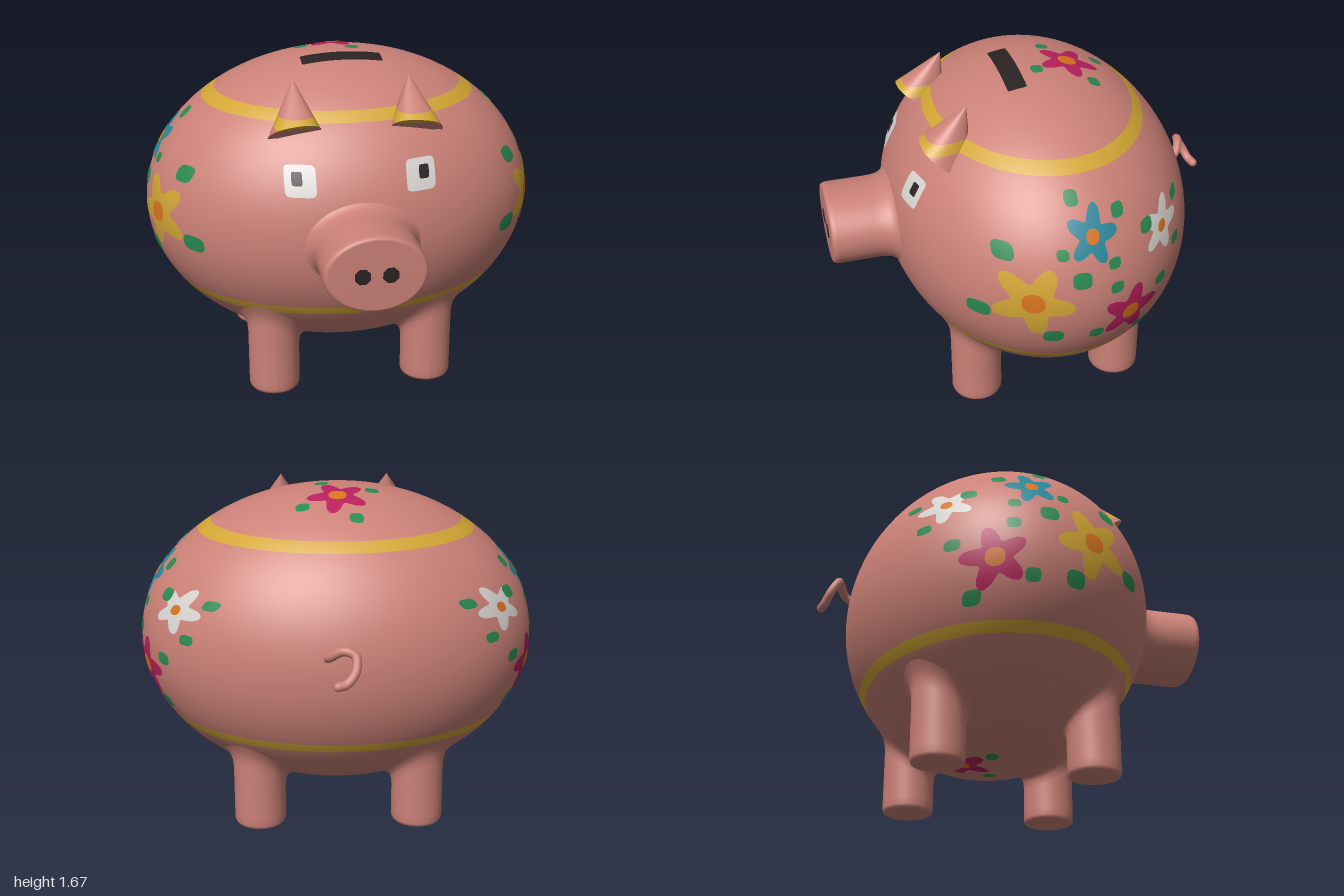
import * as THREE from 'three';

const mat = (name, color, side = THREE.FrontSide) => {
  const m = new THREE.MeshStandardMaterial({ color, side });
  m.name = name;
  return m;
};

// Body ellipsoid: centre and radii
const C = new THREE.Vector3(0, 0.91, -0.07);
const R = new THREE.Vector3(0.996, 0.76, 0.77);

// Slide a point along one axis onto the body surface
function onBody(p, axis, sign) {
  let k = 1;
  for (const a of ['x', 'y', 'z']) if (a !== axis) k -= ((p[a] - C[a]) / R[a]) ** 2;
  p[axis] = C[axis] + sign * R[axis] * Math.sqrt(Math.max(k, 0));
  return p;
}
const bodyNormal = (p) => p.clone().sub(C).divide(R).divide(R).normalize();

// Flat outlines, as functions of an angle
const flowerShape = (size, phase) => (t) => {
  const r = size * (0.75 + 0.25 * Math.cos(5 * (t - phase * Math.PI / 180)));
  return [r * Math.cos(t), r * Math.sin(t)];
};
const blobShape = (a, b, n) => (t) => {
  const c = Math.cos(t), s = Math.sin(t);
  const r = (Math.abs(c) ** n + Math.abs(s) ** n) ** (-1 / n);
  return [a * r * c, b * r * s];
};

// Faces of the body that can be painted: map (u, v) to a surface point
const sides = {
  left: { at: (u, v) => onBody(new THREE.Vector3(0, v, -u), 'x', 1) },
  right: { at: (u, v) => onBody(new THREE.Vector3(0, v, -u), 'x', -1), flip: true },
  top: { at: (u, v) => onBody(new THREE.Vector3(u, 0, -v), 'y', 1) },
  bottom: { at: (u, v) => onBody(new THREE.Vector3(u, 0, v), 'y', -1) },
  front: { at: (u, v) => onBody(new THREE.Vector3(u, v, 0), 'z', 1) },
};

// Painted patch that follows the body: nested rings of an outline
function patchGeometry(side, cu, cv, shape, lift) {
  const rings = 7, n = 48, pos = [], nor = [], idx = [];
  for (let j = 0; j <= rings; j++) for (let i = 0; i <= n; i++) {
    const [u, v] = shape((i / n) * Math.PI * 2);
    const p = side.at(cu + u * j / rings, cv + v * j / rings);
    const nn = bodyNormal(p);
    p.addScaledVector(nn, lift);
    pos.push(p.x, p.y, p.z);
    nor.push(nn.x, nn.y, nn.z);
    if (j < rings && i < n) {
      const a = j * (n + 1) + i, b = a + n + 1;
      if (side.flip) idx.push(a, b + 1, b, a, a + 1, b + 1);
      else idx.push(a, b, b + 1, a, b + 1, a + 1);
    }
  }
  const g = new THREE.BufferGeometry();
  g.setAttribute('position', new THREE.Float32BufferAttribute(pos, 3));
  g.setAttribute('normal', new THREE.Float32BufferAttribute(nor, 3));
  g.setIndex(idx);
  return g;
}

// Part of a cone between two heights, from a base ring to a tip
function coneBand(ring, tip, y0, y1) {
  const n = 48, pos = [], idx = [];
  for (let i = 0; i <= n; i++) {
    const b = ring((i / n) * Math.PI * 2);
    for (const y of [y0, y1]) {
      const t = THREE.MathUtils.clamp((y - b.y) / (tip.y - b.y || 1e-6), 0, 1);
      pos.push(...b.clone().lerp(tip, t).toArray());
    }
    const a = i * 2;
    if (i < n) idx.push(a, a + 2, a + 3, a, a + 3, a + 1);
  }
  const g = new THREE.BufferGeometry();
  g.setAttribute('position', new THREE.Float32BufferAttribute(pos, 3));
  g.setIndex(idx);
  g.computeVertexNormals();
  return g;
}

const profile = (pts) => pts.map(([x, y]) => new THREE.Vector2(x, y));

export function createModel() {
  const model = new THREE.Group();
  model.name = 'piggyBank';
  const pink = mat('pink', 0xcb8177), yellow = mat('yellow', 0xd2a534);
  const earPink = pink, white = mat('white', 0xd8d5d1), dark = mat('dark', 0x2b2222);
  const green = mat('green', 0x2a8a52), magenta = mat('magenta', 0xb8205c);
  const blue = mat('blue', 0x2a879a), orange = mat('orange', 0xd8741f);
  pink.side = yellow.side = THREE.DoubleSide;

  const add = (name, geometry, material) => {
    const m = new THREE.Mesh(geometry, material);
    m.name = name;
    model.add(m);
    return m;
  };
  const paint = (name, side, u, v, shape, material, lift = 0.004) =>
    add(name, patchGeometry(sides[side], u, v, shape, lift), material);

  // Body in horizontal zones, with two yellow bands
  const cuts = [1.67, 1.5, 1.455, 0.552, 0.503, 0.15];
  const theta = cuts.map((y) => Math.acos(THREE.MathUtils.clamp((y - C.y) / R.y, -1, 1)));
  ['bodyTop', 'upperBand', 'body', 'lowerBand', 'belly'].forEach((name, i) => {
    const g = new THREE.SphereGeometry(1, 96, Math.max(2, Math.ceil((theta[i + 1] - theta[i]) * 24)),
      0, Math.PI * 2, theta[i], theta[i + 1] - theta[i]);
    g.scale(R.x, R.y, R.z).translate(C.x, C.y, C.z);
    add(name, g, i % 2 ? yellow : pink);
  });

  // Oval snout with a rounded rim and a soft base
  const snout = new THREE.LatheGeometry(profile([[1.3, 0.64], [1.12, 0.672], [1.04, 0.7], [1.005, 0.74],
    [1, 0.78], [1, 0.965], [0.985, 0.983], [0.95, 0.994], [0.9, 0.997], [0.001, 0.997]]), 64);
  snout.rotateX(Math.PI / 2).scale(0.245, 0.19, 1).translate(0, 0.91, 0);
  add('snout', snout, pink);

  // Legs that flare into the belly; profile heights near 1 are measured from the body
  for (const [x, z, name] of [[0.4, 0.33, 'front'], [-0.4, 0.33, 'front'], [0.4, -0.43, 'back'], [-0.4, -0.43, 'back']]) {
    const g = new THREE.LatheGeometry(profile([[0.001, 0], [0.11, 0], [0.124, 0.005], [0.13, 0.02], [0.13, 0.06],
      [0.13, 0.92], [0.134, 0.96], [0.145, 0.985], [0.165, 0.998], [0.19, 1.01]]), 40);
    g.translate(x, 0, z);
    const p = g.attributes.position;
    for (let i = 0; i < p.count; i++) if (p.getY(i) > 0.5) {
      const s = onBody(new THREE.Vector3().fromBufferAttribute(p, i), 'y', -1);
      p.setY(i, s.y + p.getY(i) - 1);
    }
    g.computeVertexNormals();
    add(name + 'Leg', g, pink);
  }

  for (const s of [1, -1]) {
    // Ear: leaning cone with the upper band running across it
    const tip = new THREE.Vector3(s * 0.28, 1.64, 0.32);
    const base = new THREE.Vector3(s * 0.293, 1.385, 0.43);
    const outline = blobShape(0.13, 0.15, 2.6);
    const ring = (t) => {
      const [u, v] = outline(-s * t);
      return new THREE.Vector3(base.x + s * u, base.y + v * 0.62 - u * 0.1, base.z - -v * 0.79);
    };
    add('earTip', coneBand(ring, tip, 1.5, 1.64), earPink);
    add('earBand', coneBand(ring, tip, 1.455, 1.5), yellow);
    add('earRoot', coneBand(ring, tip, 1.2, 1.455), earPink);
    add('earUndersideBand', coneBand(ring, base, 1.6, 1.455), yellow);
    add('earUnderside', coneBand(ring, base, 1.455, 1.385), earPink);

    // Eye and nostril
    paint('eye', 'front', s * 0.287, 1.225, blobShape(0.073, 0.07, 7), white);
    paint('pupil', 'front', s * 0.302, 1.235, blobShape(0.025, 0.03, 6), dark, 0.007);
    const nostril = new THREE.CylinderGeometry(0.04, 0.04, 0.006, 8);
    nostril.rotateY(Math.PI / 8).rotateX(Math.PI / 2).translate(s * 0.065, 0.908, 0.997);
    add('nostril', nostril, dark);
  }

  // Curly tail
  const tailPath = new THREE.CatmullRomCurve3([[0.07, 1.0, -0.78], [0.05, 1.04, -0.855], [-0.01, 1.08, -0.89],
    [-0.06, 1.06, -0.905], [-0.06, 1.0, -0.94], [-0.02, 0.95, -0.965], [0.02, 0.942, -0.978]]
    .map((p) => new THREE.Vector3(...p)));
  add('tail', new THREE.TubeGeometry(tailPath, 48, 0.022, 14), pink);
  const tailEnd = new THREE.SphereGeometry(0.022, 14, 10);
  add('tailEnd', tailEnd, pink).position.copy(tailPath.getPoint(1));

  // Coin slot
  paint('coinSlot', 'top', 0, -0.05, blobShape(0.202, 0.047, 40), dark);

  // Flowers and leaves
  const flower = (side, u, v, size, phase, material, core) => {
    paint('flower', side, u, v, flowerShape(size, phase), material);
    paint('flowerCentre', side, u, v, blobShape(core, core, 2.3), orange, 0.007);
  };
  const leaf = (side, u, v, size) => paint('leaf', side, u, v, blobShape(size, size * 0.88, 3), green);

  const sideLeaves = [[0.29, 1.18, 0.045], [0.4, 0.86, 0.046], [0.085, 0.745, 0.046], [-0.035, 1.385, 0.032],
    [-0.245, 1.31, 0.032], [-0.04, 1.06, 0.045], [0.04, 1.18, 0.028], [-0.21, 0.99, 0.033], [-0.2, 1.11, 0.03],
    [-0.605, 1.205, 0.026], [-0.39, 1.2, 0.034], [-0.47, 0.9, 0.034], [-0.12, 0.735, 0.036],
    [-0.375, 0.645, 0.038], [-0.58, 1.03, 0.028]];
  for (const side of ['left', 'right']) {
    flower(side, -0.18, 0.95, 0.19, 62, yellow, 0.05);
    flower(side, 0.29, 0.815, 0.155, 75, magenta, 0.044);
    flower(side, 0.105, 1.24, 0.125, 77, blue, 0.031);
    flower(side, 0.485, 1.15, 0.115, 70, white, 0.024);
    for (const [z, y, size] of sideLeaves) leaf(side, -z, y, size);
  }
  flower('top', 0, 0.255, 0.152, 78, magenta, 0.044);
  for (const [u, v] of [[-0.085, 0.43], [0.17, 0.34], [-0.17, 0.175], [0.075, 0.08]]) leaf('top', u, v, 0.034);
  flower('bottom', 0.02, -0.23, 0.152, 78, magenta, 0.044);
  for (const [u, v] of [[0.02, -0.45], [0.13, -0.06], [-0.14, -0.11], [0.19, -0.31]]) leaf('bottom', u, v, 0.034);

  return model;
}
